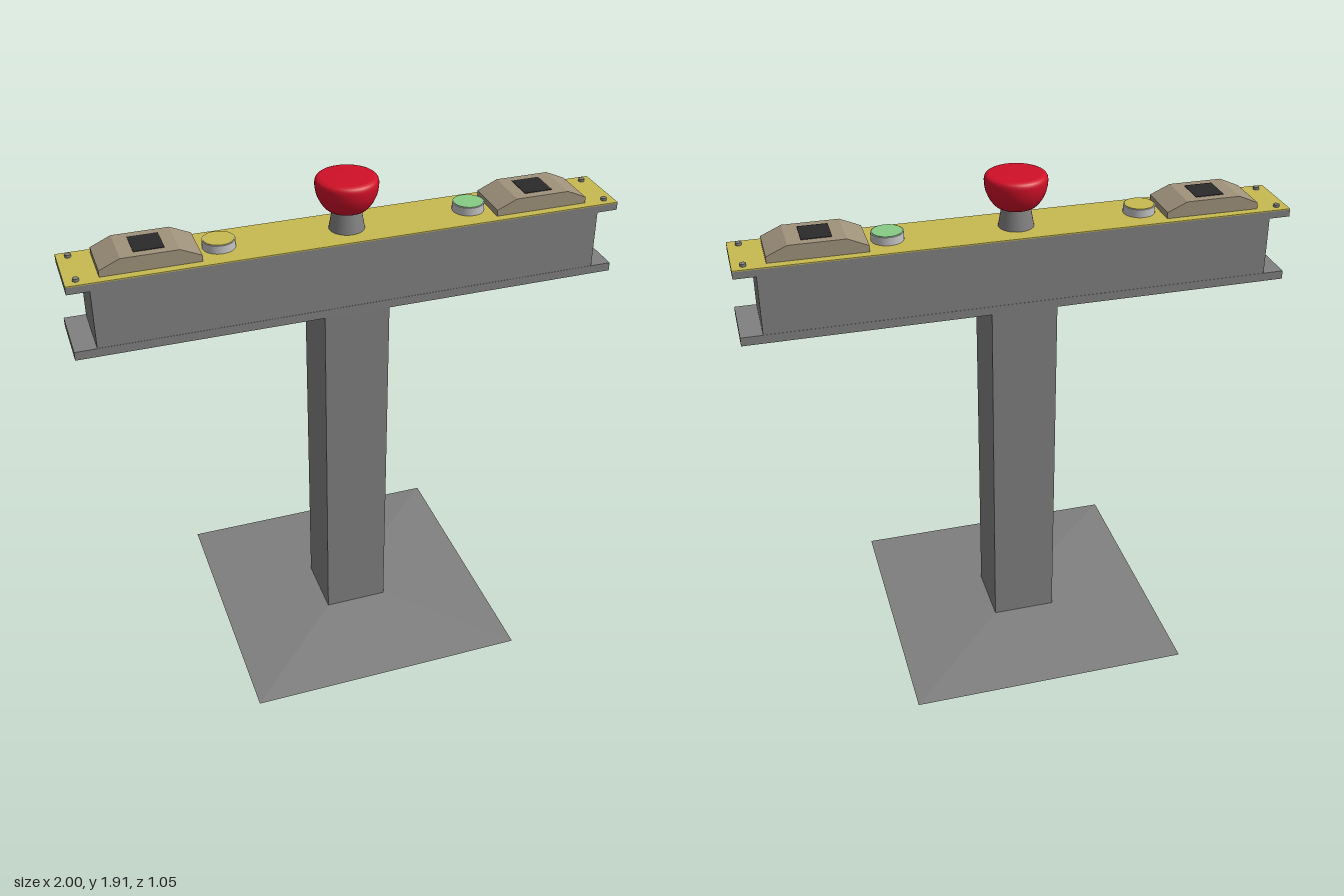
import * as THREE from 'three';

const mat = (name, color) => {
  const m = new THREE.MeshStandardMaterial({ color });
  m.name = name;
  return m;
};

export function createModel() {
  const grey = mat('steel grey', 0x808080);
  const yellow = mat('panel yellow', 0xc8ba50);
  const tan = mat('housing tan', 0xa0937c);
  const black = mat('scanner black', 0x2a2a2a);
  const red = mat('button red', 0xd01028);
  const green = mat('lamp green', 0x86cc86);
  const silver = mat('lamp rim silver', 0xc4c4c6);

  const model = new THREE.Group();
  model.name = 'controlPedestal';
  const add = (name, geometry, material, x = 0, y = 0, z = 0) => {
    const mesh = new THREE.Mesh(geometry, material);
    mesh.name = name;
    mesh.position.set(x, y, z);
    model.add(mesh);
    return mesh;
  };
  // Box given by its size and the height of its underside
  const box = (name, w, h, d, bottom, material, x = 0, z = 0) =>
    add(name, new THREE.BoxGeometry(w, h, d), material, x, bottom + h / 2, z);
  const cylinder = (name, rTop, rBottom, h, bottom, material, x = 0, z = 0, sides = 32) =>
    add(name, new THREE.CylinderGeometry(rTop, rBottom, h, sides), material, x, bottom + h / 2, z);

  // Square foot: two shallow pyramids meeting at a sharp rim
  const frustum = (top, bottom, h) => {
    const g = new THREE.CylinderGeometry(top * Math.SQRT2, bottom * Math.SQRT2, h, 4).rotateY(Math.PI / 4).toNonIndexed();
    g.computeVertexNormals();
    return g;
  };
  add('footTop', frustum(0.12, 0.527, 0.027), grey, 0, 0.0415);
  add('footUnderside', frustum(0.527, 0.12, 0.028), grey, 0, 0.014);

  // Post and crossbeam with projecting flanges
  box('post', 0.242, 1.38, 0.242, 0.052, grey);
  box('lowerFlange', 2, 0.032, 0.242, 1.43, grey);
  box('beam', 1.845, 0.22, 0.24, 1.461, grey);
  box('upperFlange', 2, 0.026, 0.242, 1.68, grey);
  box('controlPanel', 2, 0.004, 0.242, 1.706, yellow);

  // Bevelled scanner housing outline
  const outline = new THREE.Shape([
    [-0.174, 0], [0.174, 0], [0.174, 0.023], [0.1, 0.056], [-0.1, 0.056], [-0.174, 0.023],
  ].map(([x, y]) => new THREE.Vector2(x, y)));
  const housing = new THREE.ExtrudeGeometry(outline, { depth: 0.178, bevelEnabled: false }).translate(0, 0, -0.089);

  for (const side of [-1, 1]) {
    add('scannerHousing', housing, tan, side * 0.71, 1.71);
    box('scannerWindow', 0.106, 0.004, 0.114, 1.764, black, side * 0.708);
    cylinder('lampRim', 0.058, 0.058, 0.03, 1.71, silver, side * 0.46);
    cylinder('lampLens', 0.054, 0.054, 0.004, 1.738, side > 0 ? green : yellow, side * 0.46);
    for (const z of [-0.088, 0.088]) cylinder('screw', 0.011, 0.011, 0.01, 1.71, grey, side * 0.96, z, 16);
  }

  // Mushroom push button on a tapered stem
  cylinder('buttonStem', 0.05, 0.064, 0.08, 1.71, grey);
  const profile = new THREE.SplineCurve([
    [0.05, 1.782], [0.072, 1.789], [0.092, 1.812], [0.107, 1.845], [0.112, 1.88], [0.107, 1.898], [0.093, 1.905],
  ].map(([x, y]) => new THREE.Vector2(x, y))).getPoints(24);
  add('pushButton', new THREE.LatheGeometry(
    [new THREE.Vector2(0, 1.782), ...profile, new THREE.Vector2(0.05, 1.906), new THREE.Vector2(0, 1.906)], 40), red);

  return model;
}
